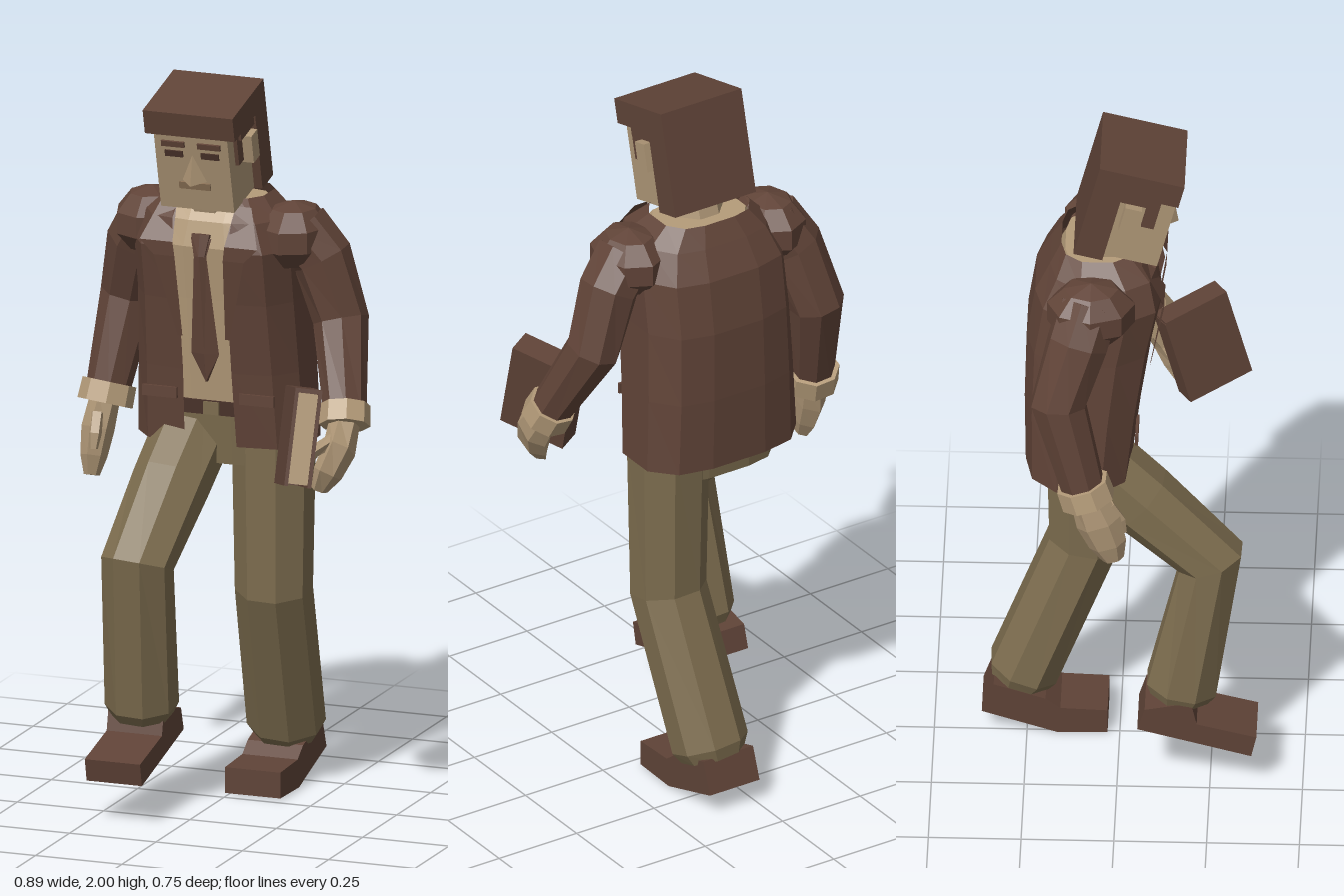
import * as THREE from 'three';

const mat = (name, color, side = THREE.FrontSide) => {
  const m = new THREE.MeshStandardMaterial({ color, side });
  m.name = name;
  return m;
};
const V = (x, y, z) => new THREE.Vector3(x, y, z);

export function createModel() {
  const brown = mat('jacket brown', 0x614438, THREE.DoubleSide);
  const hairBrown = mat('hair and shoe brown', 0x5f4337);
  const dark = mat('dark brown', 0x4a332a);
  const skin = mat('skin', 0xad9575);
  const lip = mat('lip', 0x8a7055);
  const shirtTan = mat('shirt tan', 0xb59c7a);
  const khaki = mat('trouser khaki', 0x7c6c4e);
  const root = new THREE.Group();
  root.name = 'walkingMan';

  const add = (name, geo, material, parent = root) => {
    const flat = geo.index ? geo.toNonIndexed() : geo;
    flat.computeVertexNormals();
    const m = new THREE.Mesh(flat, material);
    m.name = name;
    parent.add(m);
    return m;
  };
  const box = (name, size, pos, material, parent) => {
    const m = add(name, new THREE.BoxGeometry(...size), material, parent);
    m.position.set(...pos);
    return m;
  };

  // Skins a row of cross-sections; closed rings also get end caps
  const loft = (rings, closed = true) => {
    const p = [];
    const tri = (...vs) => vs.forEach(v => p.push(v.x, v.y, v.z));
    const n = rings[0].length;
    for (let i = 0; i < rings.length - 1; i++) {
      for (let j = 0; j < (closed ? n : n - 1); j++) {
        const k = (j + 1) % n;
        const [a, b, c, d] = [rings[i][j], rings[i][k], rings[i + 1][j], rings[i + 1][k]];
        tri(a, b, c);
        tri(b, d, c);
      }
    }
    if (closed) {
      for (const [r, start] of [[rings[0], true], [rings.at(-1), false]]) {
        const mid = r.reduce((s, v) => s.add(v), V(0, 0, 0)).divideScalar(n);
        for (let j = 0; j < n; j++) {
          const k = (j + 1) % n;
          start ? tri(mid, r[k], r[j]) : tri(mid, r[j], r[k]);
        }
      }
    }
    const g = new THREE.BufferGeometry();
    g.setAttribute('position', new THREE.Float32BufferAttribute(p, 3));
    return g;
  };

  // Faceted limb along joints [x, y, z, side radius, depth radius]
  const limb = (joints, sides = 8) => {
    const pts = joints.map(j => V(j[0], j[1], j[2]));
    return loft(pts.map((p, i) => {
      const t = V(0, 0, 0);
      if (i > 0) t.add(p.clone().sub(pts[i - 1]).normalize());
      if (i < pts.length - 1) t.add(pts[i + 1].clone().sub(p).normalize());
      t.normalize();
      const u = V(1, 0, 0).addScaledVector(t, -t.x).normalize();
      const w = t.clone().cross(u);
      const [, , , ru, rw = ru] = joints[i];
      return Array.from({ length: sides }, (_, k) => {
        const a = (k + 0.5) / sides * Math.PI * 2;
        return p.clone().addScaledVector(u, ru * Math.cos(a)).addScaledVector(w, rw * Math.sin(a));
      });
    }));
  };

  // Torso section: height, half width, back, front, half gap at the front
  const CX = -0.025;
  const section = ([y, w, zb, zf, gap]) => {
    const mid = (zb + zf) / 2, h = (zf - zb) / 2;
    const half = [[gap / w, 1], [0.78, 0.9], [1, 0.45], [1, -0.4], [0.75, -0.86], [0.35, -1]];
    const at = ([u, v], s) => V(CX + s * u * w, y, mid + v * h);
    return [...half.map(q => at(q, 1)), ...half.reverse().map(q => at(q, -1))];
  };

  // Trousers seat, belt and shirt
  add('trouserSeat', loft([[0.93, 0.18, -0.2, 0, 0.05], [1.08, 0.2, -0.21, 0.015, 0.05]].map(section)), khaki);
  add('belt', loft([[1.07, 0.2, -0.21, 0.025, 0.07], [1.11, 0.2, -0.21, 0.028, 0.07]].map(section)), dark);
  box('beltBuckle', [0.045, 0.035, 0.008], [CX, 1.09, 0.03], khaki);
  add('shirt', loft([
    [1.09, 0.2, -0.22, 0.02, 0.06], [1.4, 0.2, -0.22, 0.062, 0.06], [1.55, 0.19, -0.19, 0.085, 0.06],
    [1.62, 0.15, -0.16, 0.07, 0.05], [1.665, 0.125, -0.145, 0.035, 0.05],
  ].map(section)), shirtTan);

  // Open jacket
  add('jacket', loft([
    [0.99, 0.24, -0.25, 0.035, 0.075], [1.2, 0.232, -0.253, 0.06, 0.07], [1.4, 0.225, -0.248, 0.09, 0.07],
    [1.55, 0.225, -0.225, 0.12, 0.078], [1.63, 0.19, -0.185, 0.1, 0.085], [1.685, 0.135, -0.155, 0.04, 0.085],
  ].map(section), false), brown);
  const lapel = [[1.67, 0.085, 0.13, 0.065], [1.57, 0.075, 0.17, 0.126], [1.53, 0.07, 0.13, 0.124], [1.3, 0.062, 0.075, 0.085]];
  for (const s of [1, -1]) {
    add(s > 0 ? 'leftLapel' : 'rightLapel',
      loft(lapel.map(([y, a, b, z]) => [V(CX + s * a, y, z), V(CX + s * b, y, z)]), false), brown);
    box(s > 0 ? 'leftPocketFlap' : 'rightPocketFlap', [0.1, 0.03, 0.008], [CX + s * 0.14, 1.13, 0.052], brown);
  }

  // Tie: knot, then a blade widening down to a point
  const tie = [[1.58, 0.03, 0.092], [1.53, 0.018, 0.1], [1.25, 0.04, 0.062], [1.17, 0.004, 0.05]];
  add('tie', loft(tie.map(([y, w, z]) => [V(-0.03 - w, y, z), V(-0.03, y, z + 0.008), V(-0.03 + w, y, z)]), false), brown);
  add('tieKnot', limb([[-0.03, 1.59, 0.092, 0.03, 0.012], [-0.03, 1.53, 0.102, 0.018, 0.012]], 6), brown);

  // Arms
  const arms = {
    left: {
      shoulder: [0.19, 1.58, -0.035],
      sleeve: [[0.2, 1.6, -0.04, 0.085], [0.265, 1.52, -0.05, 0.083], [0.317, 1.35, -0.055, 0.076], [0.378, 1.12, 0.07, 0.058]],
      cuff: [[0.373, 1.145, 0.055, 0.068], [0.382, 1.095, 0.083, 0.07]],
      hand: [[0.38, 1.1, 0.08, 0.042, 0.045], [0.385, 1.04, 0.13, 0.042, 0.062], [0.365, 0.98, 0.165, 0.036, 0.062], [0.345, 0.935, 0.175, 0.02, 0.04]],
      thumb: [[0.375, 1.07, 0.14, 0.02], [0.34, 1.05, 0.21, 0.019], [0.325, 1.01, 0.235, 0.012]],
    },
    right: {
      shoulder: [-0.235, 1.575, -0.07],
      sleeve: [[-0.235, 1.6, -0.075, 0.085], [-0.29, 1.51, -0.105, 0.085], [-0.335, 1.34, -0.155, 0.078], [-0.37, 1.08, -0.085, 0.06]],
      cuff: [[-0.367, 1.1, -0.09, 0.074], [-0.373, 1.045, -0.072, 0.076]],
      hand: [[-0.374, 1.06, -0.075, 0.04, 0.05], [-0.383, 0.98, -0.045, 0.042, 0.062], [-0.385, 0.91, -0.02, 0.034, 0.052], [-0.385, 0.86, -0.005, 0.02, 0.03]],
      thumb: [[-0.375, 1.03, -0.02, 0.02], [-0.37, 0.98, 0.01, 0.019], [-0.37, 0.94, 0.02, 0.012]],
    },
  };
  for (const [side, a] of Object.entries(arms)) {
    const pad = add(side + 'ShoulderPad', new THREE.SphereGeometry(0.1, 8, 5), brown);
    pad.position.set(...a.shoulder);
    pad.scale.set(1.03, 0.95, 1.25);
    add(side + 'Sleeve', limb(a.sleeve), brown);
    add(side + 'Cuff', limb(a.cuff), shirtTan);
    add(side + 'Hand', limb(a.hand, 6), skin);
    add(side + 'Thumb', limb(a.thumb, 5), skin);
  }

  // Book: two covers, a spine on top, pages showing at the front
  const book = new THREE.Group();
  book.name = 'book';
  book.position.set(0.3, 1.085, 0.215);
  book.rotation.set(-0.22, 0.52, -0.15, 'YXZ');
  root.add(book);
  for (const s of [1, -1]) box('bookCover', [0.01, 0.26, 0.19], [s * 0.032, 0, 0], hairBrown, book);
  box('bookSpine', [0.074, 0.012, 0.19], [0, 0.13, 0], hairBrown, book);
  box('pages', [0.056, 0.246, 0.178], [0, 0, 0], shirtTan, book);
  box('bookBack', [0.074, 0.26, 0.01], [0, 0, -0.092], hairBrown, book);

  // Legs in mid stride
  add('rightTrouserLeg', limb([
    [-0.11, 1.03, -0.1, 0.11, 0.1], [-0.13, 0.88, 0.06, 0.108, 0.1], [-0.152, 0.7, 0.25, 0.1, 0.095],
    [-0.17, 0.29, 0.172, 0.1, 0.102], [-0.172, 0.26, 0.166, 0.085, 0.085],
  ]), khaki);
  add('leftTrouserLeg', limb([
    [0.105, 1.04, -0.1, 0.115, 0.11], [0.105, 0.57, -0.1, 0.106, 0.102],
    [0.077, 0.155, -0.262, 0.108, 0.1], [0.074, 0.125, -0.272, 0.09, 0.085],
  ]), khaki);

  // Shoes from side outlines in z and y
  const shoe = (name, x, outline) => {
    const w = 0.16;
    const g = new THREE.ExtrudeGeometry(
      new THREE.Shape(outline.map(q => new THREE.Vector2(...q))), { depth: w, bevelEnabled: false });
    g.rotateY(-Math.PI / 2).translate(x + w / 2, 0, 0);
    add(name, g, hairBrown);
  };
  shoe('rightShoe', -0.175, [[0.362, 0.112], [0.376, 0.175], [0.215, 0.215], [0.2, 0.285], [0.075, 0.26], [0.055, 0.195]]);
  shoe('leftShoe', 0.07, [[-0.033, 0.003], [-0.033, 0.075], [-0.16, 0.08], [-0.2, 0.11], [-0.34, 0.155], [-0.372, 0.065], [-0.17, 0]]);

  // Neck and head, leaning forward
  add('neck', limb([[-0.035, 1.74, 0.01, 0.075], [-0.035, 1.6, -0.035, 0.08]]), skin);
  const head = new THREE.Group();
  head.name = 'head';
  head.position.set(-0.035, 1.83, 0.03);
  head.rotation.x = 0.245;
  root.add(head);
  box('face', [0.212, 0.27, 0.21], [0, -0.01, 0.008], skin, head);
  box('hairTop', [0.26, 0.07, 0.235], [0, 0.112, 0], hairBrown, head);
  box('hairBack', [0.26, 0.235, 0.08], [0, -0.03, -0.0775], hairBrown, head);
  for (const s of [1, -1]) {
    const side = s > 0 ? 'left' : 'right';
    box(side + 'Sideburn', [0.014, 0.1, 0.035], [s * 0.11, 0.03, 0.055], hairBrown, head);
    box(side + 'HairAboveEar', [0.02, 0.03, 0.12], [s * 0.115, 0.065, 0], hairBrown, head);
    box(side + 'Ear', [0.035, 0.08, 0.045], [s * 0.122, 0.005, 0.002], skin, head);
    box(side + 'Brow', [0.066, 0.016, 0.009], [s * 0.052, 0.052, 0.115], hairBrown, head);
    box(side + 'Eye', [0.052, 0.018, 0.006], [s * 0.052, 0.022, 0.114], dark, head);
  }
  add('nose', new THREE.ConeGeometry(0.038, 0.085, 4), skin, head).position.set(0, -0.015, 0.11);
  box('mouth', [0.09, 0.02, 0.008], [0, -0.072, 0.114], lip, head);
  return root;
}
